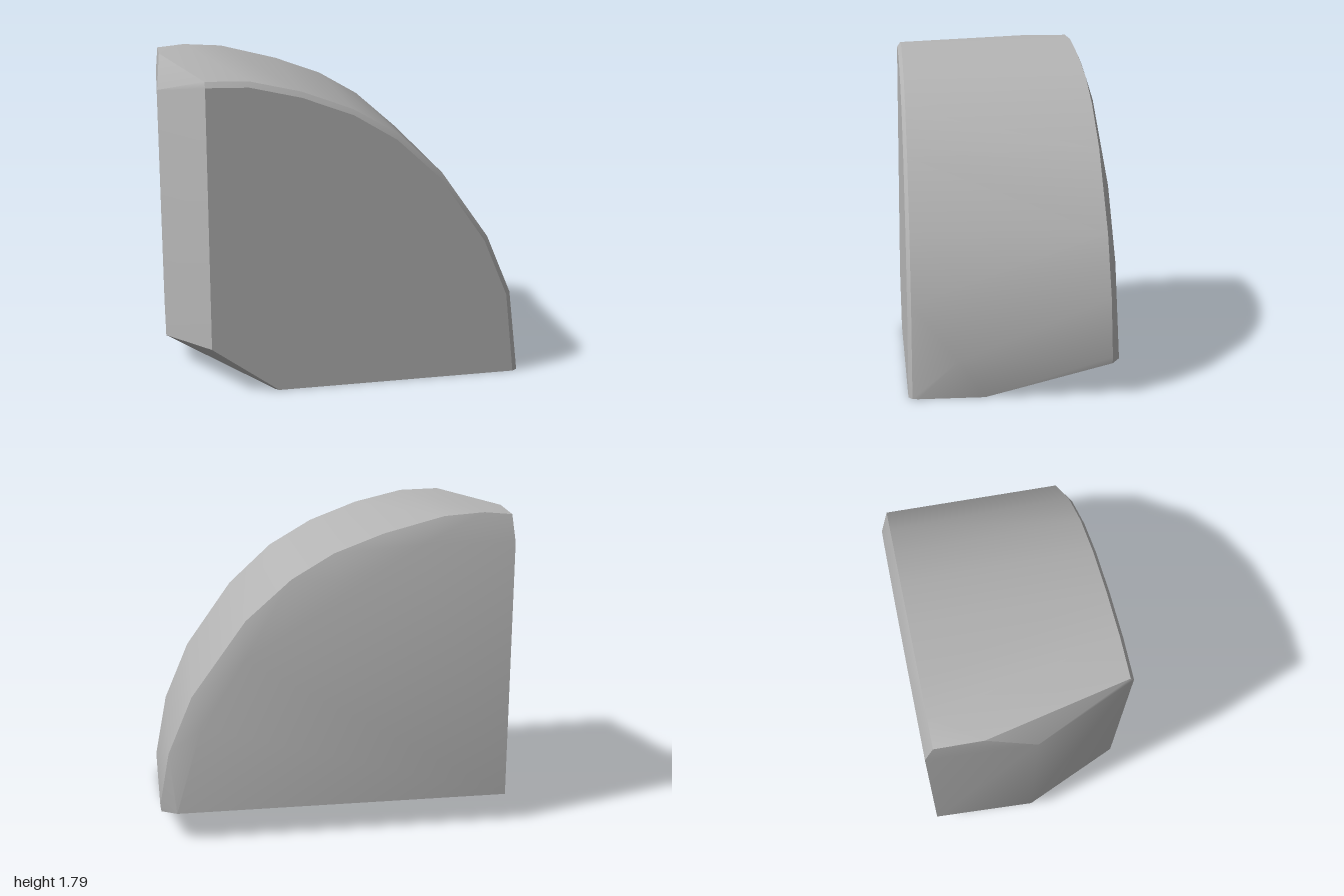
import * as THREE from 'three';
import { ConvexGeometry } from 'three/addons/geometries/ConvexGeometry.js';
import { toCreasedNormals } from 'three/addons/utils/BufferGeometryUtils.js';

// Places a profile of [x, y] pairs at depth z
const section = (profile, z) => profile.map(([x, y]) => new THREE.Vector3(x, y, z));

export function createModel() {
  const stone = new THREE.MeshStandardMaterial({ color: 0xb4b4b4 });
  stone.name = 'grey stone';

  // Flat front face
  const frontFace = [
    [-0.79, 0.27], [-0.79, 1.72], [-0.56, 1.715], [-0.28, 1.65], [0, 1.545], [0.24, 1.4],
    [0.49, 1.17], [0.75, 0.8], [0.89, 0.47], [0.945, 0], [-0.42, 0],
  ];
  // Curved rim just behind the front face
  const frontRim = [
    [-0.79, 1.75], [-0.56, 1.745], [-0.28, 1.68], [0, 1.575], [0.25, 1.43],
    [0.5, 1.2], [0.77, 0.82], [0.915, 0.48], [0.975, 0], [-0.44, 0],
  ];
  // Curved rim before the back bevel
  const backRim = [
    [-0.955, 1.775], [-0.8, 1.79], [-0.58, 1.775], [-0.25, 1.69], [0.02, 1.59], [0.25, 1.455],
    [0.5, 1.235], [0.8, 0.82], [0.935, 0.5], [0.99, 0.2], [0.985, 0.165],
  ];
  // Flat back face
  const backFace = [
    [-0.965, 0.165], [-0.965, 1.63], [-0.455, 1.635], [-0.016, 1.45],
    [0.51, 1.03], [0.756, 0.655], [0.9, 0.165],
  ];
  // Corners of the left side, the raised back underside and the outer curve
  const corners = [
    [-1, 0.165, 0.02], [-1, 1.62, 0.02], [-0.965, 1.78, -0.25],
    [-0.52, 0, 0.03], [0.87, 0, 0.03], [0.98, 0, 0.16], [0.99, 0.2, 0.3], [0.98, 0, 0.51],
  ].map((p) => new THREE.Vector3(...p));

  const points = [
    ...section(frontFace, 0.56), ...section(frontRim, 0.54),
    ...section(backRim, -0.51), ...section(backFace, -0.56), ...corners,
  ];
  const block = new THREE.Mesh(toCreasedNormals(new ConvexGeometry(points), 0.45), stone);
  block.name = 'quarterRoundStone';

  const model = new THREE.Group();
  model.name = 'stoneBlock';
  model.add(block);
  return model;
}
